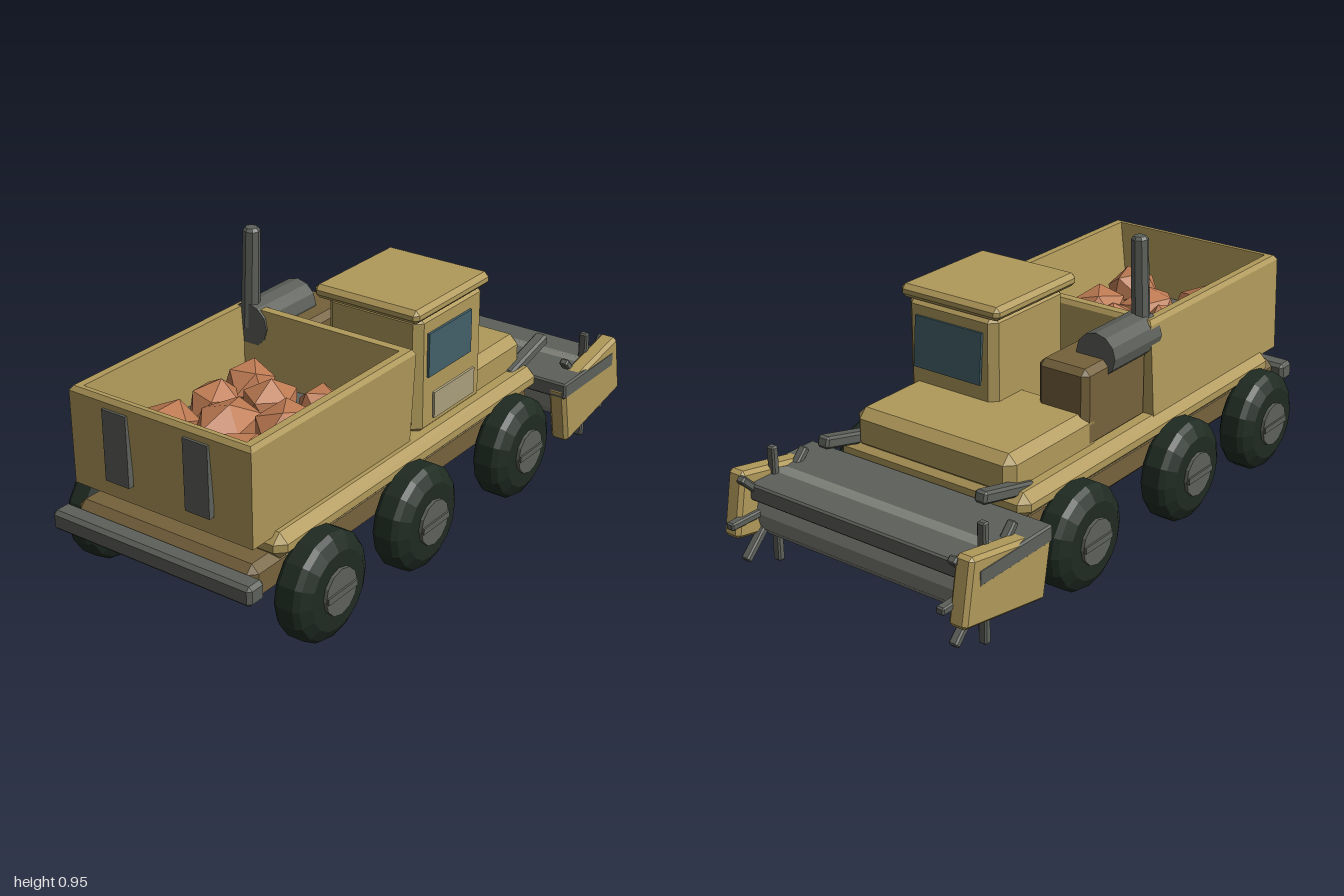
import * as THREE from 'three';
import { ConvexGeometry } from 'three/addons/geometries/ConvexGeometry.js';

const mat = (name, color, side = THREE.FrontSide) =>
  Object.assign(new THREE.MeshStandardMaterial({ color, side }), { name });

export function createModel() {
  const M = {
    tan: mat('tan paint', 0xb0995a),
    brown: mat('brown paint', 0x75623c),
    steel: mat('dark steel', 0x5d605a),
    drum: mat('drum steel', 0x7d7f78),
    tyre: mat('tyre rubber', 0x1f2b22),
    glass: mat('window glass', 0x426069),
    panel: mat('pale panel', 0xa99f7c),
    crop: mat('root crop', 0xbd7a52),
  };
  const model = new THREE.Group();
  model.name = 'harvester';

  // Every surface is faceted
  const flat = (g) => {
    const f = g.index ? g.toNonIndexed() : g;
    f.computeVertexNormals();
    return f;
  };
  const add = (name, geo, material, x = 0, y = 0, z = 0, parent = model) => {
    const m = new THREE.Mesh(flat(geo), material);
    m.name = name;
    m.position.set(x, y, z);
    parent.add(m);
    return m;
  };

  // Box with chamfered edges
  const chamferBox = (w, h, d, b) => {
    const pts = [];
    for (const i of [-1, 1]) for (const j of [-1, 1]) for (const k of [-1, 1]) {
      for (let a = 0; a < 3; a++) {
        pts.push(new THREE.Vector3(
          i * (w / 2 - (a === 0 ? 0 : b)),
          j * (h / 2 - (a === 1 ? 0 : b)),
          k * (d / 2 - (a === 2 ? 0 : b))));
      }
    }
    return new ConvexGeometry(pts);
  };
  // Chamfered box given by its limits
  const block = (name, material, [x0, x1], [y0, y1], [z0, z1], b = 0.015) =>
    add(name, chamferBox(x1 - x0, y1 - y0, z1 - z0, b), material,
      (x0 + x1) / 2, (y0 + y1) / 2, (z0 + z1) / 2);

  // Chassis and deck
  block('chassis', M.brown, [-0.94, 0.55], [0.19, 0.31], [-0.34, 0.34], 0.025);
  block('deck', M.tan, [-0.85, 0.56], [0.29, 0.375], [-0.37, 0.37], 0.03);
  block('rearBumper', M.steel, [-1, -0.93], [0.225, 0.29], [-0.375, 0.375], 0.012);

  // Open hopper: rectangular rings from the outer foot over the rim to the floor
  const rings = [
    [-0.92, -0.15, 0.335, 0.36], [-0.94, -0.15, 0.335, 0.675], [-0.93, -0.16, 0.325, 0.69],
    [-0.915, -0.19, 0.3, 0.69], [-0.89, -0.21, 0.268, 0.45],
  ].map(([x0, x1, z, y]) => {
    const s = (y - 0.52) * 0.06; // slight sideways lean
    return [[x0, y, z + s], [x1, y, z + s], [x1, y, -z + s], [x0, y, -z + s]];
  });
  const pos = [];
  for (let r = 0; r < rings.length - 1; r++) {
    for (let i = 0; i < 4; i++) {
      const j = (i + 1) % 4;
      const [a, b, c, d] = [rings[r][i], rings[r][j], rings[r + 1][j], rings[r + 1][i]];
      pos.push(...a, ...b, ...c, ...a, ...c, ...d);
    }
  }
  const hopper = new THREE.BufferGeometry();
  hopper.setAttribute('position', new THREE.Float32BufferAttribute(pos, 3));
  add('hopper', hopper, M.tan);
  add('hopperFloor', new THREE.BoxGeometry(0.69, 0.02, 0.545), M.steel, -0.55, 0.445, 0);
  for (const s of [-1, 1]) {
    add('hopperSlat', new THREE.BoxGeometry(0.02, 0.23, 0.09), M.steel, -0.937, 0.54, s * 0.15);
  }

  // Harvested roots: x, z, half length, half width
  [[-0.727, -0.15, 0.118, 0.092], [-0.52, -0.14, 0.1, 0.075], [-0.353, -0.14, 0.09, 0.083],
    [-0.61, -0.015, 0.128, 0.095], [-0.42, -0.005, 0.104, 0.09], [-0.754, 0.145, 0.102, 0.09],
    [-0.52, 0.13, 0.118, 0.092], [-0.364, 0.145, 0.085, 0.08],
  ].forEach(([x, z, a, b], i) => {
    const g = new THREE.IcosahedronGeometry(1, 0);
    g.rotateX(i * 1.3).rotateY(i * 0.9).scale(a, 0.085, b);
    add('root', g, M.crop, x, 0.515, z);
  });

  // Engine hood and engine box
  block('hood', M.tan, [0.1, 0.55], [0.34, 0.48], [-0.31, 0.305], 0.03);
  block('engineBox', M.brown, [-0.16, 0.175], [0.36, 0.625], [-0.31, -0.12], 0.02);

  // Air tank and exhaust stack
  const tank = new THREE.CylinderGeometry(0.073, 0.073, 0.26, 12).rotateZ(Math.PI / 2);
  add('airTank', tank, M.steel, -0.07, 0.632, -0.262);
  const stack = new THREE.LatheGeometry([[0, -0.17], [0.031, -0.17], [0.028, 0.155], [0.02, 0.165], [0, 0.165]]
    .map(([r, y]) => new THREE.Vector2(r, y)), 8);
  add('exhaust', stack, M.steel, -0.174, 0.79, -0.267).rotation.x = 0.04;

  // Cab
  block('cab', M.tan, [-0.1, 0.268], [0.36, 0.765], [-0.03, 0.322], 0.025);
  block('cabRoof', M.tan, [-0.137, 0.28], [0.755, 0.8], [-0.053, 0.337], 0.015);
  add('sideWindow', new THREE.BoxGeometry(0.24, 0.146, 0.009), M.glass, 0.064, 0.628, 0.326);
  add('frontWindow', new THREE.BoxGeometry(0.009, 0.17, 0.265), M.glass, 0.278, 0.622, 0.145)
    .rotation.z = 0.08;
  add('doorPanel', new THREE.BoxGeometry(0.228, 0.088, 0.009), M.panel, 0.058, 0.467, 0.348);

  // Six wheels, with hubs and hub bars
  const tyreProfile = [[0, -0.065], [0.125, -0.065], [0.16, -0.045], [0.172, -0.028],
    [0.172, 0.028], [0.16, 0.045], [0.125, 0.065], [0, 0.065]]
    .map(([r, y]) => new THREE.Vector2(r, y));
  for (const x of [-0.71, -0.228, 0.34]) {
    for (const s of [-1, 1]) {
      const wheel = new THREE.Group();
      wheel.name = 'wheel';
      wheel.position.set(x, 0.174, s * 0.4);
      model.add(wheel);
      add('tyre', new THREE.LatheGeometry(tyreProfile, 16).rotateX(Math.PI / 2), M.tyre, 0, 0, 0, wheel);
      const hub = new THREE.CylinderGeometry(0.075, 0.075, 0.02, 12).rotateX(Math.PI / 2);
      add('hub', hub, M.steel, 0, 0, s * 0.066, wheel);
      add('hubBar', new THREE.BoxGeometry(0.14, 0.02, 0.01), M.steel, 0, 0, s * 0.077, wheel);
    }
  }

  // Digging head: cover, drum, end plates, tine stars and lift arms
  block('headCover', M.steel, [0.562, 0.9], [0.272, 0.328], [-0.472, 0.472], 0.006);
  const drum = new THREE.CylinderGeometry(0.112, 0.112, 0.82, 12).rotateX(Math.PI / 2);
  add('drum', drum, M.drum, 0.77, 0.222, 0);
  for (const s of [-1, 1]) {
    add('endPlate', chamferBox(0.375, 0.215, 0.065, 0.012), M.tan, 0.762, 0.235, s * 0.438)
      .rotation.z = 0.185;
    for (let i = 0; i < 4; i++) {
      add('tine', chamferBox(0.39, 0.025, 0.03, 0.005), M.steel, 0.8, 0.222, s * 0.406)
        .rotation.z = i * Math.PI / 4;
    }
    add('liftArm', chamferBox(0.24, 0.04, 0.045, 0.008), M.steel, 0.572, 0.386, s * 0.305)
      .rotation.z = 0.24;
  }
  return model;
}
